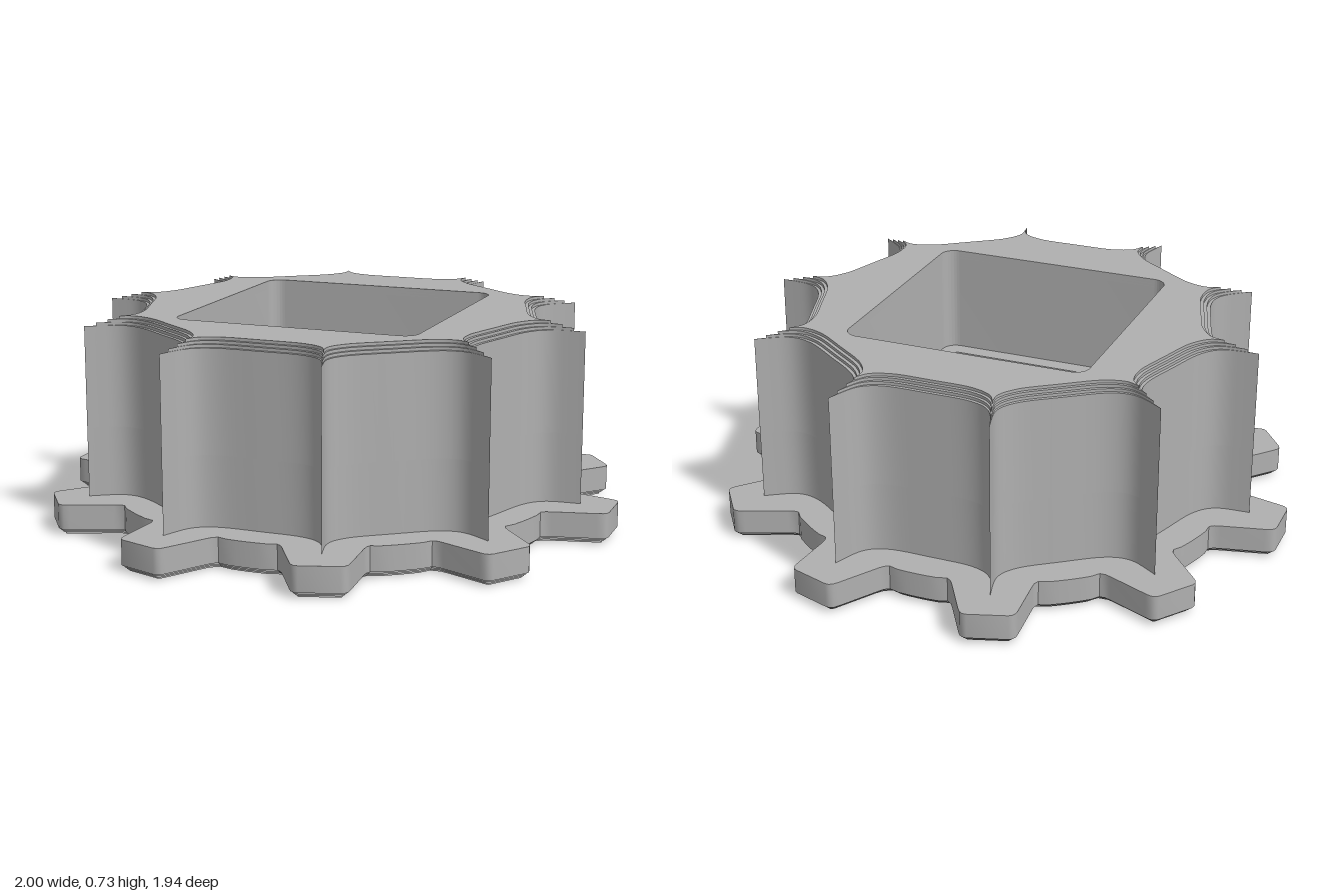
import * as THREE from 'three';
import { toCreasedNormals } from 'three/addons/utils/BufferGeometryUtils.js';

const COUNT = 10;
const STEP = (Math.PI * 2) / COUNT;
const grey = new THREE.MeshStandardMaterial({ color: 0xb0b0b0 });
grey.name = 'grey plastic';

const V = (x, y) => new THREE.Vector2(x, y);

// Repeat a list of points round the axis
function ring(points, offset = 0) {
  const out = [];
  for (let i = 0; i < COUNT; i++) {
    for (const p of points) out.push(p.clone().rotateAround(V(0, 0), i * STEP + offset));
  }
  return out;
}

// Sprocket outline: blunt teeth with rounded corners and an arc between them
function sprocketOutline() {
  const half = [V(0.785, 0.147), V(0.8, 0.135), V(0.82, 0.129), V(0.965, 0.095), V(0.985, 0.089), V(0.996, 0.079), V(1, 0.066)];
  const tooth = [...half.map((p) => V(p.x, -p.y)), ...half.slice().reverse()];
  for (let k = 1; k < 6; k++) {
    const a = 0.185 + (k / 6) * (STEP - 0.37);
    tooth.push(V(Math.cos(a) * 0.805, Math.sin(a) * 0.805));
  }
  return ring(tooth);
}

// Move a counter-clockwise outline inwards by d
function inset(points, d) {
  const n = points.length;
  return points.map((p, i) => {
    const a = p.clone().sub(points[(i + n - 1) % n]).normalize();
    const b = points[(i + 1) % n].clone().sub(p).normalize();
    const m = V(-a.y - b.y, a.x + b.x).normalize();
    return p.clone().addScaledVector(m, d / Math.max(0.5, m.dot(V(-a.y, a.x))));
  });
}

// Hub outline: hollow flanks meeting in sharp ridges; t shrinks it for the top steps
function hubOutline(t) {
  // [tangent, radius] from the ridge to the middle of the hollow
  const outer = [[0.2735, 0.8415], [0.254, 0.79], [0.236, 0.75], [0.21, 0.72], [0.17, 0.7], [0.11, 0.69], [0, 0.69]];
  const inner = [[0.2364, 0.7276], [0.227, 0.71], [0.213, 0.69], [0.19, 0.675], [0.16, 0.664], [0.11, 0.655], [0, 0.655]];
  const half = outer.map(([u, r], i) => V(r + (inner[i][1] - r) * t, u + (inner[i][0] - u) * t));
  const all = [...half.map((p) => V(p.x, -p.y)), ...half.slice(0, -1).reverse()];
  const points = new THREE.SplineCurve(all).getPoints(36);
  points.pop();
  return ring(points, STEP / 2);
}

// Square hole with rounded corners
function squareHole(h, r) {
  const p = new THREE.Path();
  [[1, 1], [-1, 1], [-1, -1], [1, -1]].forEach(([x, y], i) => {
    p.absarc(x * (h - r), y * (h - r), r, (i * Math.PI) / 2, ((i + 1) * Math.PI) / 2, false);
  });
  p.closePath();
  return p;
}

// Horizontal slab between two heights with one hole
function slab(name, outline, hole, y0, y1) {
  const shape = new THREE.Shape(outline);
  shape.holes.push(hole);
  const geo = new THREE.ExtrudeGeometry(shape, { depth: y1 - y0, bevelEnabled: false, curveSegments: 16 });
  geo.rotateX(-Math.PI / 2).translate(0, y0, 0);
  const mesh = new THREE.Mesh(toCreasedNormals(geo, 0.6), grey);
  mesh.name = name;
  return mesh;
}

export function createModel() {
  const model = new THREE.Group();
  model.name = 'sprocket';

  // Toothed base plate with a round bore, stepped in along its lower edge
  const base = new THREE.Group();
  base.name = 'toothedBase';
  const teeth = sprocketOutline();
  const bore = new THREE.Path().absarc(0, 0, 0.134, 0, Math.PI * 2, false);
  for (let i = 0; i < 3; i++) {
    base.add(slab('baseEdgeStep', inset(teeth, 0.024 - i * 0.008), bore, i * 0.007, (i + 1) * 0.007));
  }
  base.add(slab('basePlate', teeth, bore, 0.021, 0.108));

  // Ridged hub with a square pocket and a narrower square socket below it
  const hub = new THREE.Group();
  hub.name = 'ridgedHub';
  const body = hubOutline(0);
  const pocket = squareHole(0.43, 0.05);
  hub.add(slab('hubLower', body, squareHole(0.37, 0.002), 0.108, 0.35));
  hub.add(slab('hubUpper', body, pocket, 0.35, 0.703));
  for (let i = 0; i < 3; i++) {
    hub.add(slab('hubTopStep', hubOutline((i + 1) / 3), pocket, 0.703 + i * 0.01, 0.713 + i * 0.01));
  }

  model.add(base, hub);
  return model;
}
